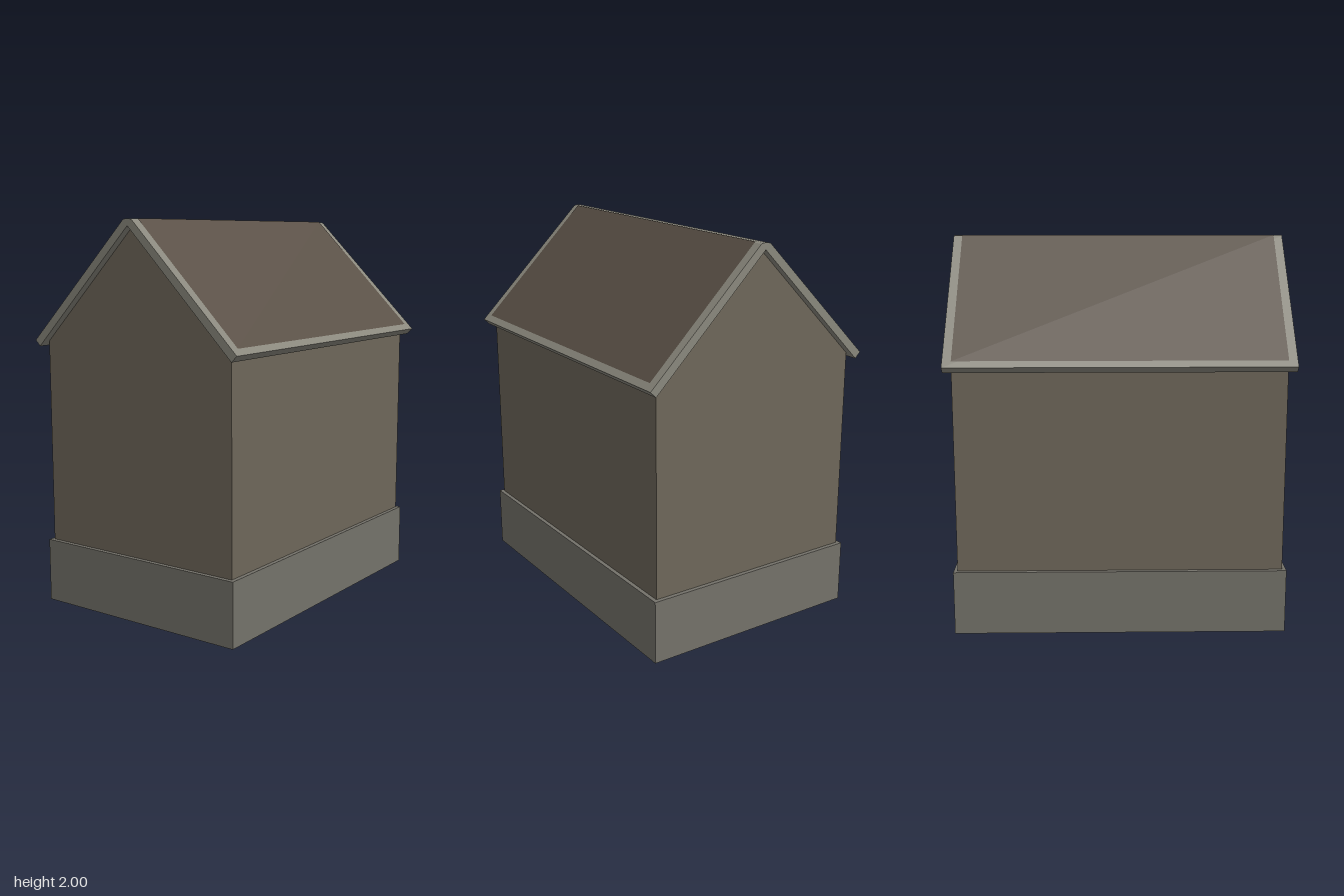
import * as THREE from 'three';

const material = (color, side = THREE.FrontSide) =>
  new THREE.MeshStandardMaterial({ color, side });

// Prism along x from a [z, y] outline, centred on x = 0
function prism(outline, length) {
  const shape = new THREE.Shape(outline.map(([z, y]) => new THREE.Vector2(z, y)));
  const geometry = new THREE.ExtrudeGeometry(shape, { depth: length, bevelEnabled: false });
  geometry.translate(0, 0, -length / 2);
  geometry.rotateY(Math.PI / 2);
  return geometry;
}

export function createModel() {
  const house = new THREE.Group();
  house.name = 'house';

  const add = (name, geometry, mat) => {
    const mesh = new THREE.Mesh(geometry, mat);
    mesh.name = name;
    house.add(mesh);
    return mesh;
  };

  // Plinth: a thin shell, open underneath
  const plinth = new THREE.BoxGeometry(1.7, 0.33, 1.2);
  const index = Array.from(plinth.index.array);
  index.splice(18, 6); // bottom face
  plinth.setIndex(index);
  plinth.clearGroups();
  plinth.translate(0, 0.165, 0);
  add('plinth', plinth, material(0x74726a, THREE.DoubleSide));

  // Walls with gable ends
  add('walls', prism([
    [-0.58, 0.331], [0.58, 0.331], [0.58, 1.385], [0, 1.965], [-0.58, 1.385],
  ], 1.66), material(0x6e675a));

  // Roof slab with a blunt ridge and square-cut eaves
  add('roofSlab', prism([
    [0, 1.967], [0.607, 1.36], [0.637, 1.39], [0.027, 1.996], [0.012, 2],
    [-0.012, 2], [-0.027, 1.996], [-0.637, 1.39], [-0.607, 1.36],
  ], 1.74), material(0x8a887d));

  // Roof covering on both slopes, leaving a pale border at eaves and verges
  const covering = new THREE.PlaneGeometry(1.65, 0.825);
  covering.rotateX(-Math.PI / 4);
  covering.translate(0, 1.71, 0.319);
  const coveringMaterial = material(0x5a5046);
  add('frontRoofCovering', covering, coveringMaterial);
  add('backRoofCovering', covering, coveringMaterial).rotation.y = Math.PI;

  return house;
}
